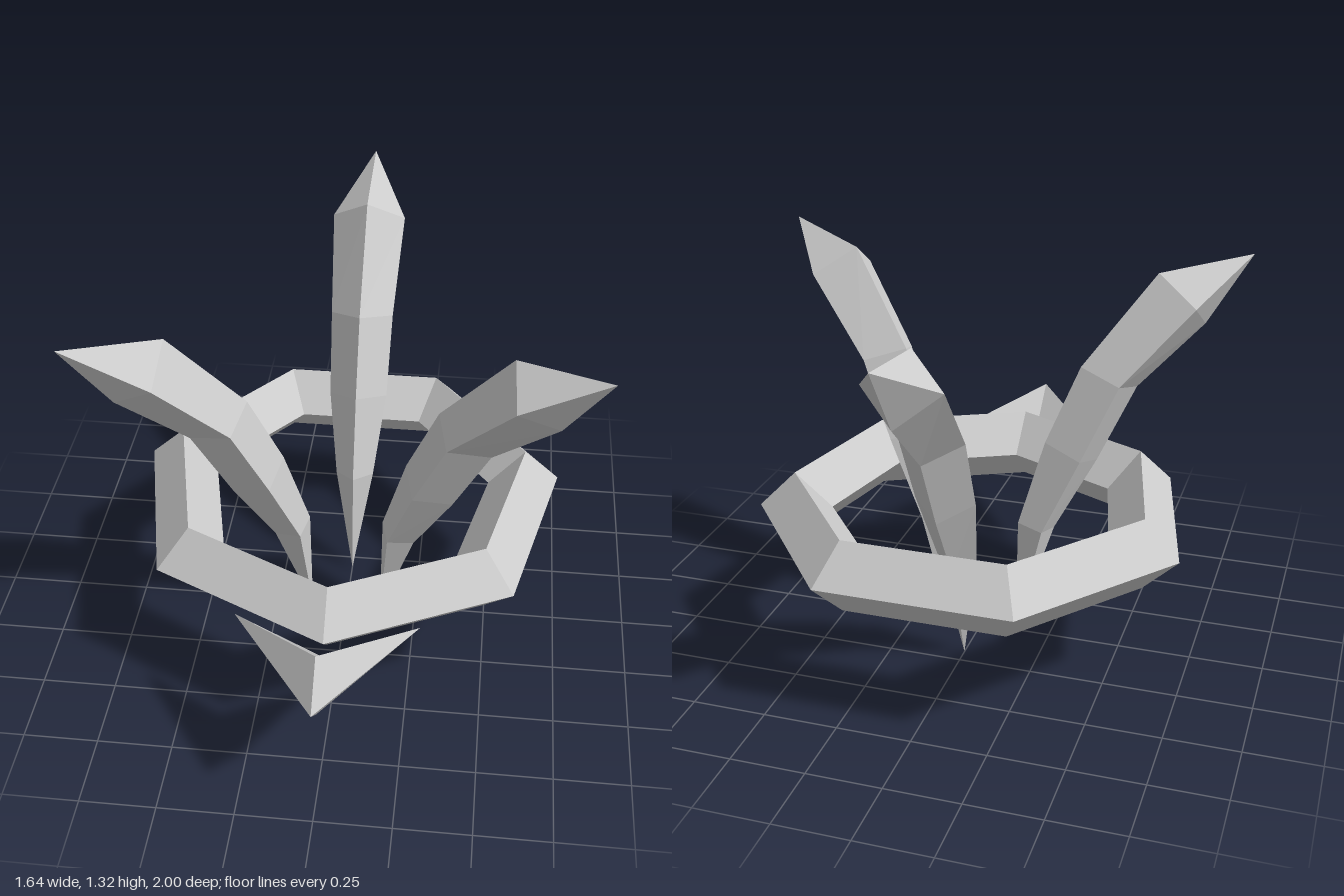
import * as THREE from 'three';

const material = new THREE.MeshStandardMaterial({ color: 0xcccccc, flatShading: true });
const CENTRE_Z = -0.053;
const RING_Y = 0.475;

// Skin between four-cornered sections; a single-point section closes to a tip.
function loft(sections) {
  const positions = [];
  const corner = (s, i) => s[i % s.length];
  for (let k = 0; k + 1 < sections.length; k++) {
    const a = sections[k], b = sections[k + 1];
    for (let i = 0; i < 4; i++) {
      const a0 = corner(a, i), a1 = corner(a, i + 1), b0 = corner(b, i), b1 = corner(b, i + 1);
      if (a.length > 1) positions.push(...a0, ...a1, ...b1);
      if (b.length > 1) positions.push(...a0, ...b1, ...b0);
    }
  }
  const geometry = new THREE.BufferGeometry();
  geometry.setAttribute('position', new THREE.Float32BufferAttribute(positions, 3));
  geometry.computeVertexNormals();
  return geometry;
}

function addPart(group, name, geometry) {
  const mesh = new THREE.Mesh(geometry, material);
  mesh.name = name;
  group.add(mesh);
  return mesh;
}

// Curved blade leaning outward along +z, with a diamond section.
function bladeGeometry() {
  // spine distance, spine height, then offset to the inner ridge (distance, height)
  const stations = [
    [0.212, 0.40, -0.065, 0.015],
    [0.331, 0.668, -0.093, 0.040],
    [0.457, 0.928, -0.100, 0.043],
    [0.702, 1.185, -0.087, 0.093],
  ];
  const sections = stations.map(([r, y, dr, dy]) => {
    const w = Math.hypot(dr, dy);
    return [[w, y, r], [0, y + dy, r + dr], [-w, y, r], [0, y - dy, r - dr]];
  });
  return loft([[[0, 0, 0.142]], ...sections, [[0, 1.322, 0.947]]]);
}

export function createModel() {
  const model = new THREE.Group();
  model.name = 'bladedRing';

  // Seven-sided ring with a diamond section, one corner facing forward
  const ring = new THREE.TorusGeometry(0.622, 0.125, 4, 7);
  ring.rotateZ(Math.PI / 2);
  ring.rotateX(Math.PI / 2);
  addPart(model, 'ring', ring).position.set(0, RING_Y, CENTRE_Z);

  // Three blades spaced evenly around the centre
  const blade = bladeGeometry();
  const angles = { backBlade: Math.PI, leftBlade: Math.PI / 3, rightBlade: -Math.PI / 3 };
  for (const [name, angle] of Object.entries(angles)) {
    const mesh = addPart(model, name, blade);
    mesh.position.z = CENTRE_Z;
    mesh.rotation.y = angle;
  }

  // Swept arrowhead in front of the ring
  const t = 0.125;
  const arrowhead = loft([
    [[-0.295, 0, 0.59]],
    [[0, t, 0.87], [0, 0, 0.87 + t], [0, -t, 0.87], [0, 0, 0.87 - t]],
    [[0.295, 0, 0.59]],
  ]);
  addPart(model, 'frontArrowhead', arrowhead).position.y = RING_Y;

  return model;
}
